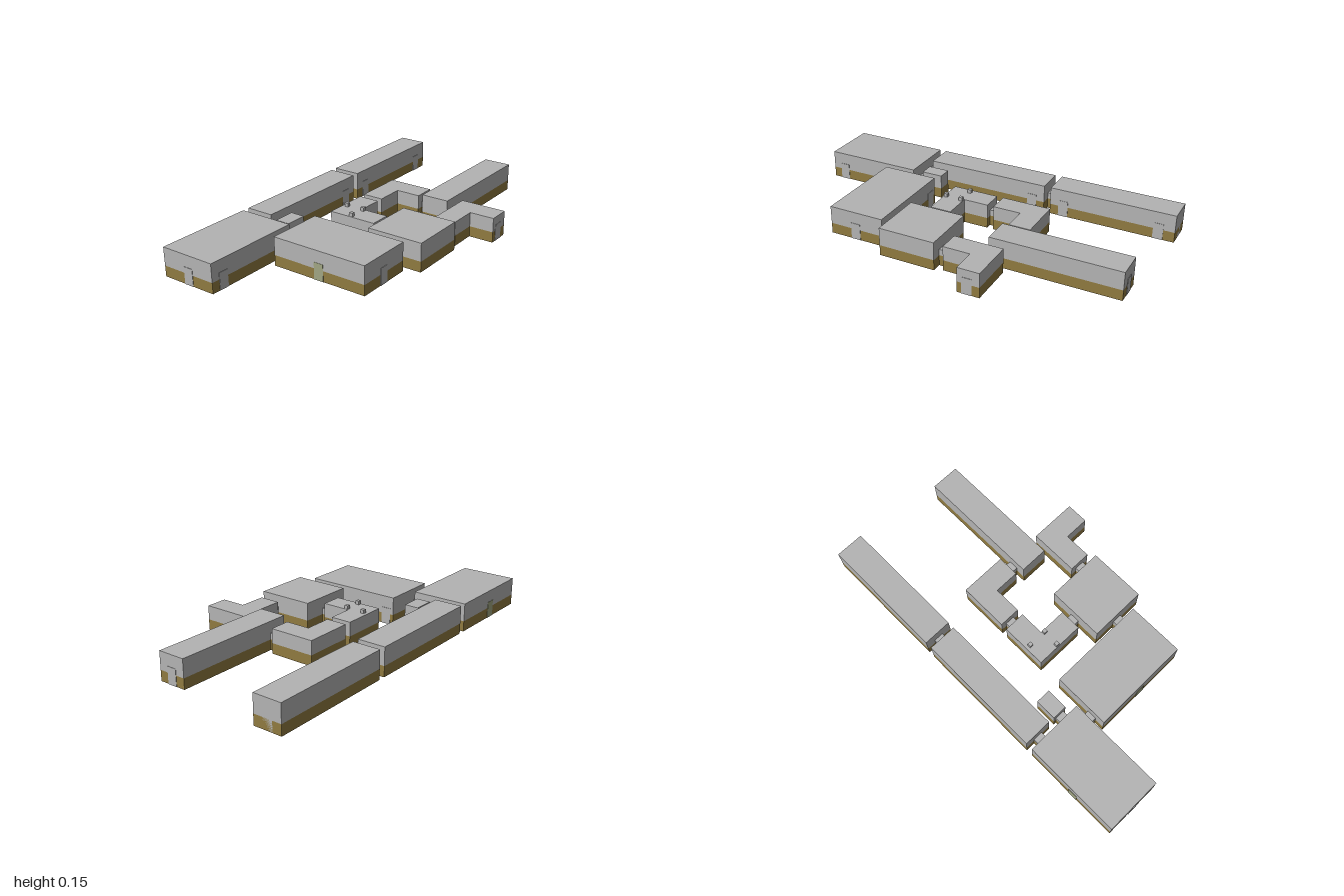
import * as THREE from 'three';

const paint = (name, hex) => {
  const m = new THREE.MeshStandardMaterial({ color: hex });
  m.name = name;
  return m;
};

export function createModel() {
  const model = new THREE.Group();
  model.name = 'buildingComplex';
  const grey = paint('grey wall', 0xb3b3b3);
  const brown = paint('brown wainscot', 0x8f7a40);
  const green = paint('green door', 0xa0a582);
  const floor = paint('olive floor', 0x8c9074);

  const BAND = 0.057, TALL = 0.154, LOW = 0.134, DOOR = 0.09;

  // Upright prism over a footprint of [x, z] points
  const prism = (pts, y0, y1, mats, name) => {
    const shape = new THREE.Shape(pts.map(([x, z]) => new THREE.Vector2(x, -z)));
    const geo = new THREE.ExtrudeGeometry(shape, { depth: y1 - y0, bevelEnabled: false });
    geo.rotateX(-Math.PI / 2).translate(0, y0, 0);
    const mesh = new THREE.Mesh(geo, mats);
    mesh.name = name;
    return mesh;
  };

  // A block: brown lower wall with its floor, grey upper wall with its roof
  const block = (name, pts, height) => {
    const g = new THREE.Group();
    g.name = name;
    g.add(prism(pts, 0, BAND, [floor, brown], 'lowerWallAndFloor'));
    g.add(prism(pts, BAND, height, grey, 'upperWallAndRoof'));
    model.add(g);
  };
  const rect = (x0, x1, z0, z1) => [[x0, z0], [x0, z1], [x1, z1], [x1, z0]];

  // Rectangular rooms and halls
  [
    ['backHall', -0.54, -0.385, -1, -0.31, TALL],
    ['middleHall', -0.54, -0.385, -0.273, 0.42, TALL],
    ['frontRoom', -0.54, -0.23, 0.457, 0.995, TALL],
    ['entranceRoom', -0.195, 0.343, 0.302, 0.612, TALL],
    ['closet', -0.35, -0.27, 0.302, 0.42, LOW],
    ['squareRoom', 0.112, 0.421, -0.043, 0.267, TALL],
    ['sideHall', 0.093, 0.247, -0.943, -0.252, TALL],
  ].forEach(([n, x0, x1, z0, z1, h]) => block(n, rect(x0, x1, z0, z1), h));

  // L-shaped corner passages
  block('frontCorner', [[-0.195, -0.082], [-0.195, 0.171], [0.075, 0.171],
    [0.075, 0.055], [-0.08, 0.055], [-0.08, -0.082]], LOW);
  block('backCorner', [[-0.195, -0.387], [-0.195, -0.117], [-0.08, -0.117],
    [-0.08, -0.27], [0.056, -0.27], [0.056, -0.387]], LOW);
  block('rightCorner', [[0.283, -0.35], [0.283, -0.082], [0.4, -0.082],
    [0.4, -0.23], [0.535, -0.23], [0.535, -0.35]], LOW);

  // Low connecting doorways between the blocks
  [
    [-0.49, -0.438, -0.31, -0.273],
    [-0.49, -0.438, 0.42, 0.457],
    [-0.336, -0.284, 0.42, 0.457],
    [-0.23, -0.195, 0.506, 0.56],
    [0.238, 0.29, 0.267, 0.302],
    [0.075, 0.112, 0.083, 0.136],
    [-0.165, -0.113, -0.117, -0.082],
    [0.056, 0.093, -0.356, -0.304],
    [0.315, 0.367, -0.082, -0.043],
  ].forEach((r) => block('connector', rect(...r), DOOR));

  // Thin door plates: axis the wall faces, wall position, centre along the wall
  const door = (name, axis, at, centre, mat) => {
    const alongX = axis === 'z';
    const mesh = new THREE.Mesh(
      new THREE.BoxGeometry(alongX ? 0.054 : 0.004, DOOR, alongX ? 0.004 : 0.054), mat);
    mesh.position.set(alongX ? centre : at, DOOR / 2, alongX ? at : centre);
    mesh.name = name;
    model.add(mesh);
  };
  door('entranceDoor', 'z', 0.612, 0.077, green);
  door('sideDoor', 'x', -0.54, 0.74, green);
  [
    ['z', 0.995, -0.382],
    ['x', -0.23, 0.922],
    ['x', 0.343, 0.462],
    ['x', 0.535, -0.283],
    ['z', -0.998, -0.463],
    ['z', -0.943, 0.17],
    ['x', -0.385, -0.912],
    ['x', -0.385, -0.385],
    ['x', -0.385, -0.2],
    ['z', 0.302, -0.15],
  ].forEach(([axis, at, c]) => door('closedDoor', axis, at, c, grey));

  // Small roof boxes on the front corner passage
  [[-0.168, 0.067], [-0.066, 0.067], [-0.07, 0.158]].forEach(([x, z]) => {
    const box = new THREE.Mesh(new THREE.BoxGeometry(0.02, 0.02, 0.02), grey);
    box.position.set(x, LOW + 0.01, z);
    box.name = 'roofBox';
    model.add(box);
  });

  return model;
}
